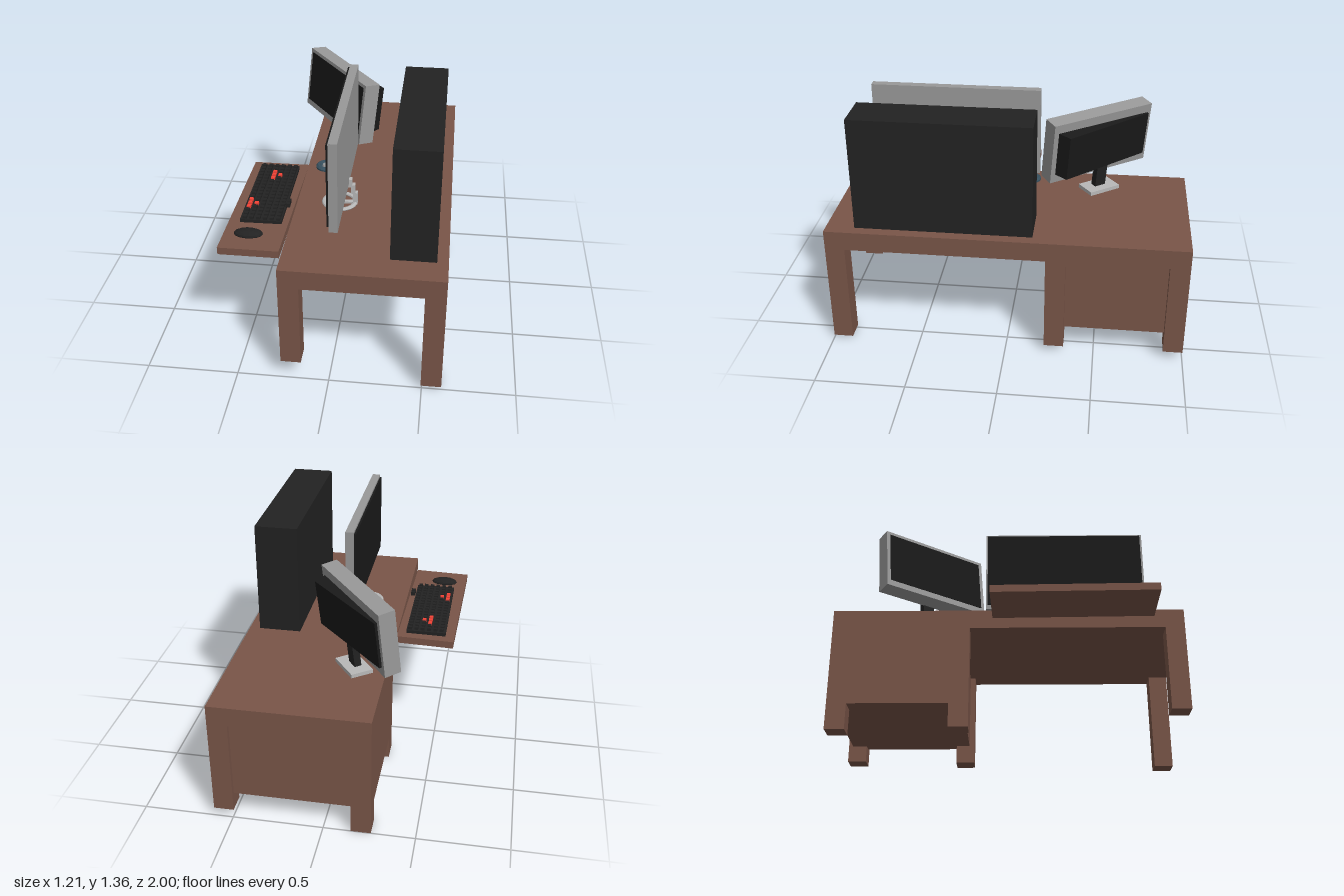
import * as THREE from 'three';

const mat = (color) => new THREE.MeshStandardMaterial({ color, flatShading: true });
const wood = mat(0x795548), black = mat(0x222222), screenBlack = mat(0x1a1a1a);
const grey = mat(0x999999), light = mat(0xb8b8b8), red = mat(0xf44336), blue = mat(0x37505e);

function add(parent, name, geometry, material, x = 0, y = 0, z = 0) {
  const mesh = new THREE.Mesh(geometry, material);
  mesh.name = name;
  mesh.position.set(x, y, z);
  parent.add(mesh);
  return mesh;
}

// Box given by its extents along each axis
function box(parent, name, material, [x0, x1], [y0, y1], [z0, z1]) {
  return add(parent, name, new THREE.BoxGeometry(x1 - x0, y1 - y0, z1 - z0), material,
    (x0 + x1) / 2, (y0 + y1) / 2, (z0 + z1) / 2);
}

function group(parent, name) {
  const g = new THREE.Group();
  g.name = name;
  parent.add(g);
  return g;
}

function buildDesk(root) {
  const desk = group(root, 'desk');
  box(desk, 'desktop', wood, [-0.26, 0.605], [0.6, 0.71], [-1, 1]);
  // Legs: x start, z start, foot height
  const legs = [
    [-0.26, 0.89, 0.11], [0.495, 0.89, 0.015],
    [-0.26, -0.33, 0.01], [0.495, -0.33, 0.04],
    [-0.26, -1, 0], [0.495, -1, 0.05],
  ];
  for (const [x, z, foot] of legs) {
    box(desk, 'leg', wood, [x, x + 0.11], [foot, 0.6], [z, z + 0.11]);
  }
  // Cabinet between the rear legs, with a slot under the desktop
  box(desk, 'cabinet', wood, [-0.15, 0.56], [0.147, 0.587], [-0.975, -0.25]);
  box(desk, 'cabinetFront', wood, [-0.26, -0.15], [0.147, 0.6], [-0.89, -0.33]);
}

function buildTray(root) {
  const tray = group(root, 'keyboardTray');
  tray.position.set(-0.435, 0.68, 0.365);
  tray.rotation.set(0, -0.02, 0.015);
  add(tray, 'trayBoard', new THREE.BoxGeometry(0.33, 0.042, 0.92), wood);

  const keyboard = group(root, 'keyboard');
  box(keyboard, 'keyboardBase', black, [-0.54, -0.31], [0.698, 0.72], [-0.04, 0.57]);
  const rows = [-0.515, -0.478, -0.44, -0.403, -0.366, -0.33];
  const redKeys = new Set(['0:11', '0:12', '0:13', '1:12', '2:2', '2:3', '2:4', '3:3']);
  const keyGeometry = new THREE.BoxGeometry(0.022, 0.016, 0.022);
  rows.forEach((x, r) => {
    for (let c = 0; c < 17; c++) {
      add(keyboard, 'key', keyGeometry, redKeys.has(`${r}:${c}`) ? red : black,
        x, 0.727, -0.015 + c * 0.0355);
    }
  });
  // Raised control block at the far edge
  for (const z of [0.4, 0.43]) box(keyboard, 'controlKey', black, [-0.31, -0.285], [0.733, 0.756], [z - 0.013, z + 0.013]);

  const mouse = add(root, 'mouse', new THREE.SphereGeometry(1, 14, 8), black, -0.47, 0.705, 0.68);
  mouse.scale.set(0.08, 0.025, 0.045);
}

function buildPuck(root) {
  const puck = group(root, 'roundSpeaker');
  puck.position.set(-0.15, 0.71, -0.07);
  const profile = [[0, 0], [0.063, 0], [0.063, 0.01], [0.052, 0.02], [0.04, 0.02], [0.034, 0.008], [0, 0.008]];
  add(puck, 'speakerRing', new THREE.LatheGeometry(profile.map(([x, y]) => new THREE.Vector2(x, y)), 24), blue);
  add(puck, 'speakerCentre', new THREE.CylinderGeometry(0.022, 0.028, 0.012, 20), grey, 0, 0.012, 0);
}

function buildMainMonitor(root) {
  const monitor = group(root, 'mainMonitor');
  box(monitor, 'monitorCase', grey, [-0.015, 0.032], [0.843, 1.355], [-0.14, 0.825]);
  box(monitor, 'screen', screenBlack, [-0.027, -0.014], [0.868, 1.342], [-0.13, 0.812]);
  // Ring foot with a spoke and a stepped neck behind the case
  const ring = add(monitor, 'ringFoot', new THREE.TorusGeometry(0.088, 0.014, 8, 28), light, -0.02, 0.718, 0.32);
  ring.rotation.x = Math.PI / 2;
  ring.scale.z = 0.7;
  box(monitor, 'footSpoke', light, [-0.02, 0.075], [0.712, 0.724], [0.308, 0.332]);
  box(monitor, 'lowerNeck', light, [0.055, 0.08], [0.712, 0.785], [0.305, 0.335]);
  box(monitor, 'upperNeck', light, [0.045, 0.067], [0.78, 0.835], [0.305, 0.335]);
  box(monitor, 'neckMount', light, [0.02, 0.05], [0.82, 0.87], [0.305, 0.335]);
}

function buildSideMonitor(root) {
  const yaw = -0.933;
  const head = group(root, 'sideMonitor');
  head.position.set(-0.107, 1.012, -0.46);
  head.rotation.set(-0.12, yaw, 0, 'YXZ');
  add(head, 'monitorCase', new THREE.BoxGeometry(0.67, 0.375, 0.095), grey);
  add(head, 'screen', new THREE.BoxGeometry(0.625, 0.318, 0.008), screenBlack, 0, 0.008, 0.046);
  // Wedge-shaped rear housing, deeper at one end
  const plan = new THREE.Shape([[-0.31, 0], [0.305, 0], [0.275, 0.075], [-0.31, 0.015]]
    .map(([x, y]) => new THREE.Vector2(x, y)));
  const housing = add(head, 'rearHousing',
    new THREE.ExtrudeGeometry(plan, { depth: 0.27, bevelEnabled: false }), screenBlack, 0, -0.135, -0.047);
  housing.rotation.x = -Math.PI / 2;

  const stand = group(root, 'sideMonitorStand');
  stand.position.set(-0.078, 0.71, -0.485);
  stand.rotation.y = yaw;
  add(stand, 'standFoot', new THREE.BoxGeometry(0.2, 0.022, 0.13), light, 0, 0.011, 0);
  const neck = add(stand, 'standNeck', new THREE.BoxGeometry(0.07, 0.14, 0.04), black, 0, 0.09, 0);
  neck.rotation.x = -0.12;
}

export function createModel() {
  const root = new THREE.Group();
  root.name = 'deskSetup';
  buildDesk(root);
  buildTray(root);
  buildPuck(root);
  buildMainMonitor(root);
  buildSideMonitor(root);
  box(root, 'computerTower', black, [0.303, 0.545], [0.71, 1.355], [-0.145, 0.84]);
  return root;
}
